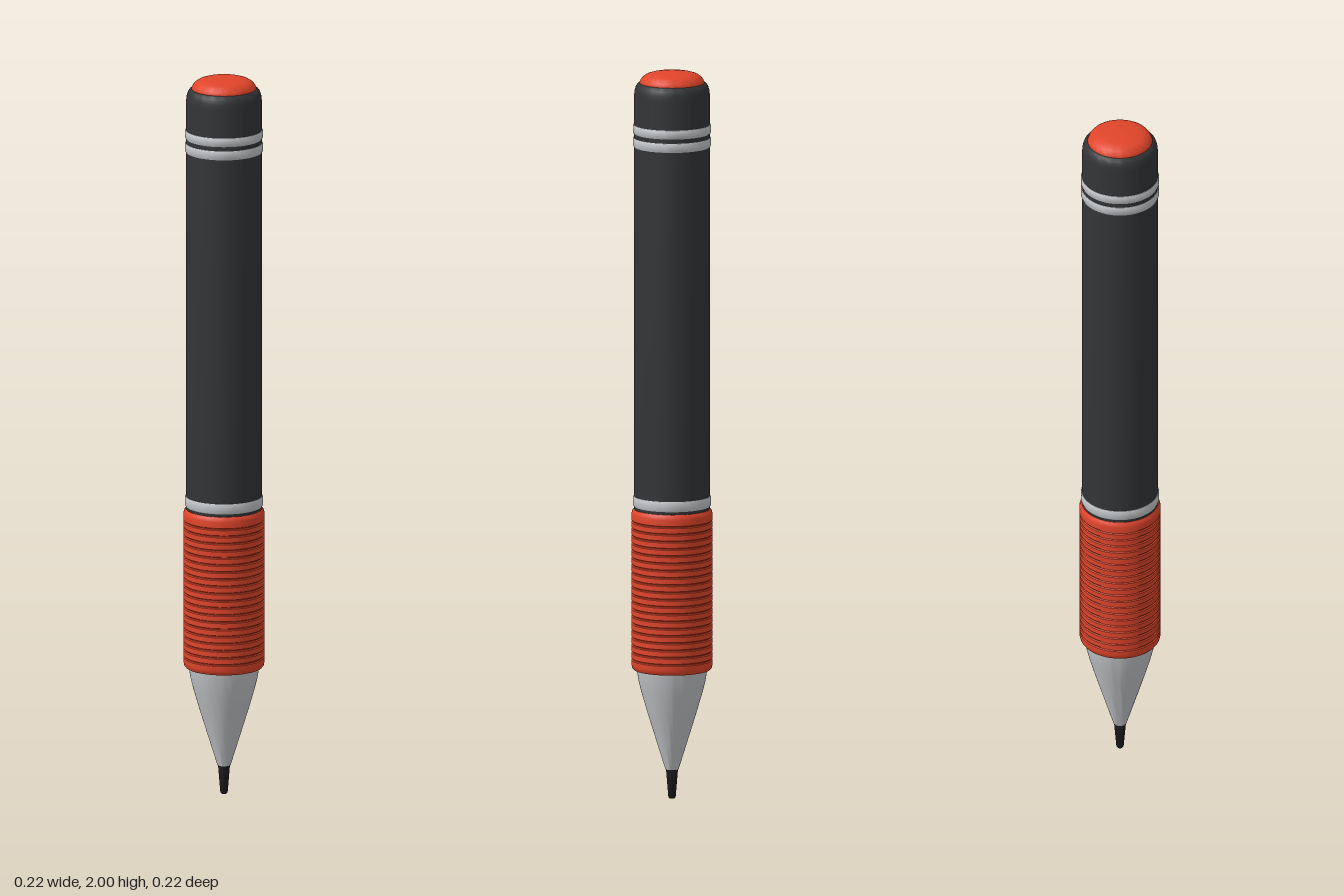
import * as THREE from 'three';
import { toCreasedNormals } from 'three/addons/utils/BufferGeometryUtils.js';

const DARK = 0x323436, RED = 0xe0452a, SILVER = 0xc4c7ca, LEAD = 0x1c1d1f;

// Turned part from a bottom-to-top [radius, height] profile
function turned(name, color, profile) {
  const points = profile.map(([r, y]) => new THREE.Vector2(r, y));
  const geometry = toCreasedNormals(new THREE.LatheGeometry(points, 64), 0.65);
  const mesh = new THREE.Mesh(geometry, new THREE.MeshStandardMaterial({ color }));
  mesh.name = name;
  return mesh;
}

// Thin ring with softened edges wrapped round the barrel
function band(name, y0, y1) {
  return turned(name, SILVER, [
    [0.098, y0], [0.104, y0 + 0.001], [0.106, y0 + 0.005],
    [0.106, y1 - 0.005], [0.104, y1 - 0.001], [0.098, y1],
  ]);
}

export function createModel() {
  const pencil = new THREE.Group();
  pencil.name = 'mechanicalPencil';

  // Writing point and metal cone
  pencil.add(turned('leadTip', LEAD, [
    [0, 0], [0.007, 0], [0.01, 0.004], [0.0165, 0.083], [0, 0.083],
  ]));
  pencil.add(turned('noseCone', SILVER, [
    [0, 0.08], [0.018, 0.08], [0.042, 0.157], [0.067, 0.238],
    [0.083, 0.293], [0.091, 0.325], [0.096, 0.358], [0, 0.358],
  ]));

  // Rubber grip: a sleeve with evenly spaced shallow grooves
  const grip = [[0.09, 0.355], [0.104, 0.356], [0.108, 0.361], [0.11, 0.37]];
  const grooves = 20, start = 0.385, pitch = 0.02;
  for (let i = 0; i < grooves; i++) {
    const y = start + i * pitch;
    grip.push([0.11, y - 0.003], [0.107, y - 0.001], [0.107, y + 0.001], [0.11, y + 0.003]);
  }
  grip.push([0.11, 0.785], [0.108, 0.793], [0.104, 0.798], [0.09, 0.799]);
  pencil.add(turned('grip', RED, grip));

  // Barrel with rounded shoulder
  pencil.add(turned('barrel', DARK, [
    [0, 0.79], [0.103, 0.79], [0.103, 1.935], [0.1015, 1.95],
    [0.098, 1.962], [0.093, 1.969], [0.087, 1.972], [0, 1.972],
  ]));

  // Metal bands
  pencil.add(band('lowerBand', 0.805, 0.835));
  pencil.add(band('upperBandA', 1.795, 1.822));
  pencil.add(band('upperBandB', 1.832, 1.858));

  // Domed push button
  pencil.add(turned('endButton', RED, [
    [0, 1.965], [0.088, 1.965], [0.088, 1.972], [0.085, 1.98], [0.079, 1.987],
    [0.07, 1.993], [0.058, 1.997], [0.04, 1.999], [0, 2],
  ]));

  return pencil;
}
